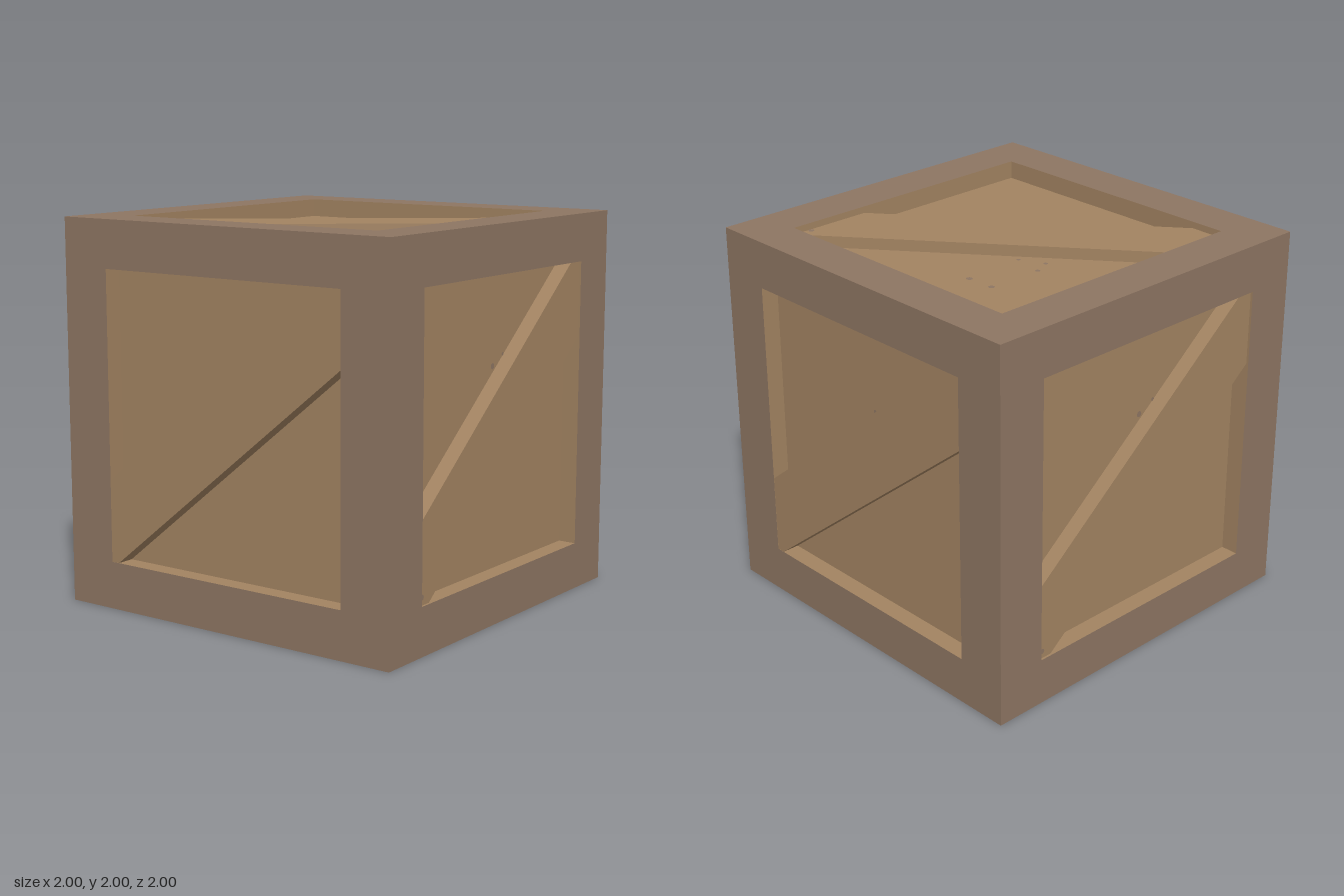
import * as THREE from 'three';

const frameMat = new THREE.MeshStandardMaterial({ color: 0x8d7562 });
frameMat.name = 'frame brown';
const woodMat = new THREE.MeshStandardMaterial({ color: 0xa28361 });
woodMat.name = 'plank tan';

const DEPTH = 0.095; // how far the panels sit behind the frame

function part(name, geometry, material, z) {
  const mesh = new THREE.Mesh(geometry, material);
  mesh.name = name;
  mesh.position.z = z;
  return mesh;
}

const outline = (pts) => new THREE.Shape(pts.map(([x, y]) => new THREE.Vector2(x, y)));
const rect = (w, h) => [[-w, -h], [w, -h], [w, h], [-w, h]];

// One crate side, facing +z, with its outer surface at z = 1
function crateSide(name, { w, h, brace, top, knots = [] }) {
  const side = new THREE.Group();
  side.name = name;

  // Flat border around the opening
  const border = outline(rect(1, 1));
  border.holes.push(outline(rect(w, h)));
  side.add(part('frame', new THREE.ShapeGeometry(border), frameMat, 1));

  // Inside-out box without its cover: panel and rim walls
  const recess = new THREE.BoxGeometry(2 * w, 2 * h, DEPTH).scale(-1, -1, -1);
  recess.setIndex(Array.from(recess.index.array).slice(0, 30));
  recess.clearGroups();
  side.add(part('recessedPanel', recess, woodMat, 1 - DEPTH / 2));

  // Diagonal brace board
  const board = new THREE.ExtrudeGeometry(outline(brace), {
    depth: top - (1 - DEPTH), bevelEnabled: false,
  });
  side.add(part('diagonalBrace', board, woodMat, 1 - DEPTH));

  // Small dark wood knots: x, y, radius, surface height
  for (const [x, y, r, z] of knots) {
    const knot = part('knot', new THREE.CircleGeometry(r, 8), frameMat, z + 0.002);
    knot.position.x = x;
    knot.position.y = y;
    side.add(knot);
  }
  return side;
}

export function createModel() {
  const crate = new THREE.Group();
  crate.name = 'crate';
  const body = new THREE.Group();
  body.name = 'crateBody';
  body.position.y = 1;
  crate.add(body);

  const panel = 1 - DEPTH;
  const frontSpec = {
    w: 0.73, h: 0.752, top: 0.988,
    brace: [[-0.73, -0.752], [-0.655, -0.752], [0.73, 0.357], [0.73, 0.752], [0.645, 0.752], [-0.73, -0.353]],
    knots: [[0.02, 0.285, 0.016, panel], [0.115, 0.335, 0.01, panel], [-0.714, -0.712, 0.014, 0.988]],
  };
  const rightSpec = {
    w: 0.725, h: 0.752, top: 0.999,
    brace: [[-0.725, -0.752], [-0.68, -0.752], [0.725, 0.38], [0.725, 0.752], [0.61, 0.752], [-0.725, -0.325]],
    knots: [[0.02, 0.295, 0.012, panel]],
  };
  const topSpec = {
    w: 0.757, h: 0.757, top: 0.965,
    brace: [[-0.757, 0.757], [-0.757, 0.57], [0.3, -0.757], [0.757, -0.757], [-0.45, 0.757]],
    knots: [
      [0.42, 0.33, 0.017, panel], [0.425, 0.18, 0.018, panel], [0.02, 0.295, 0.012, panel],
      [0.115, 0.335, 0.014, panel], [0.08, 0.165, 0.011, panel], [0.663, -0.739, 0.016, 0.965],
    ],
  };

  // Four walls around the vertical axis
  ['frontSide', 'rightHandSide', 'backSide', 'leftHandSide'].forEach((name, i) => {
    const side = crateSide(name, i % 2 ? rightSpec : frontSpec);
    side.rotation.y = (i * Math.PI) / 2;
    body.add(side);
  });

  // Lid
  const lid = crateSide('topSide', topSpec);
  lid.rotation.x = -Math.PI / 2;
  body.add(lid);

  // Plain closed base
  const base = new THREE.Mesh(new THREE.PlaneGeometry(2, 2), frameMat);
  base.name = 'base';
  base.rotation.x = Math.PI / 2;
  base.position.y = -1;
  body.add(base);

  return crate;
}
